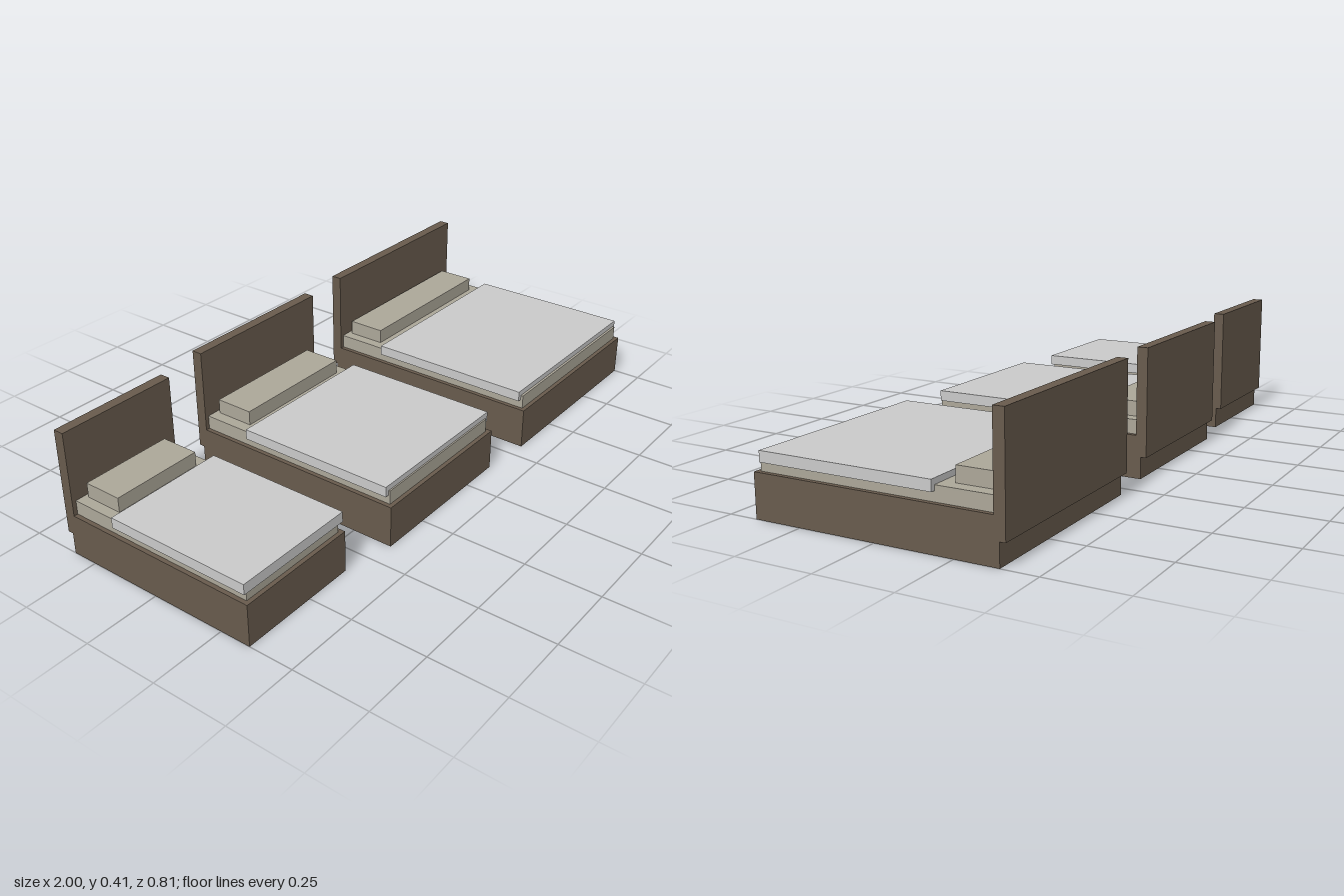
import * as THREE from 'three';

// x range, half length, blanket z range, pillow x range and pillow front per bed
const BEDS = [
  { name: 'singleBed', x: [-1, -0.588], half: 0.353, blanket: [-0.152, 0.345], pillow: [-0.951, -0.642], pillowFront: -0.174 },
  { name: 'doubleBed', x: [-0.416, 0.136], half: 0.388, blanket: [-0.177, 0.369], pillow: [-0.364, 0.081], pillowFront: -0.208 },
  { name: 'kingBed', x: [0.31, 1], half: 0.405, blanket: [-0.187, 0.383], pillow: [0.359, 0.947], pillowFront: -0.226 },
];

function material(name, color) {
  const m = new THREE.MeshStandardMaterial({ color });
  m.name = name;
  return m;
}

// Box spanning the given ranges on each axis
function box(name, mat, [x0, x1], [y0, y1], [z0, z1]) {
  const mesh = new THREE.Mesh(new THREE.BoxGeometry(x1 - x0, y1 - y0, z1 - z0), mat);
  mesh.position.set((x0 + x1) / 2, (y0 + y1) / 2, (z0 + z1) / 2);
  mesh.name = name;
  return mesh;
}

export function createModel() {
  const wood = material('brown wood', 0x685b4d);
  const linen = material('beige linen', 0xaca799);
  const cover = material('light grey cover', 0xcacaca);

  const model = new THREE.Group();
  model.name = 'beds';
  for (const { name, x, half, blanket, pillow, pillowFront } of BEDS) {
    const bed = new THREE.Group();
    bed.name = name;
    const boardFront = -half + 0.035;
    const inset = 0.014;
    bed.add(
      box('base', wood, x, [0, 0.138], [-half + 0.018, half]),
      // The headboard hangs behind the base, clear of the floor
      box('headboard', wood, x, [0.07, 0.415], [-half, boardFront]),
      box('mattress', linen, [x[0] + inset, x[1] - inset], [0.138, 0.184], [boardFront, half - inset]),
      // The blanket overhangs the mattress on both sides
      box('blanket', cover, x, [0.168, 0.202], blanket),
      box('pillow', linen, pillow, [0.184, 0.232], [boardFront + 0.014, pillowFront]),
    );
    model.add(bed);
  }
  return model;
}
